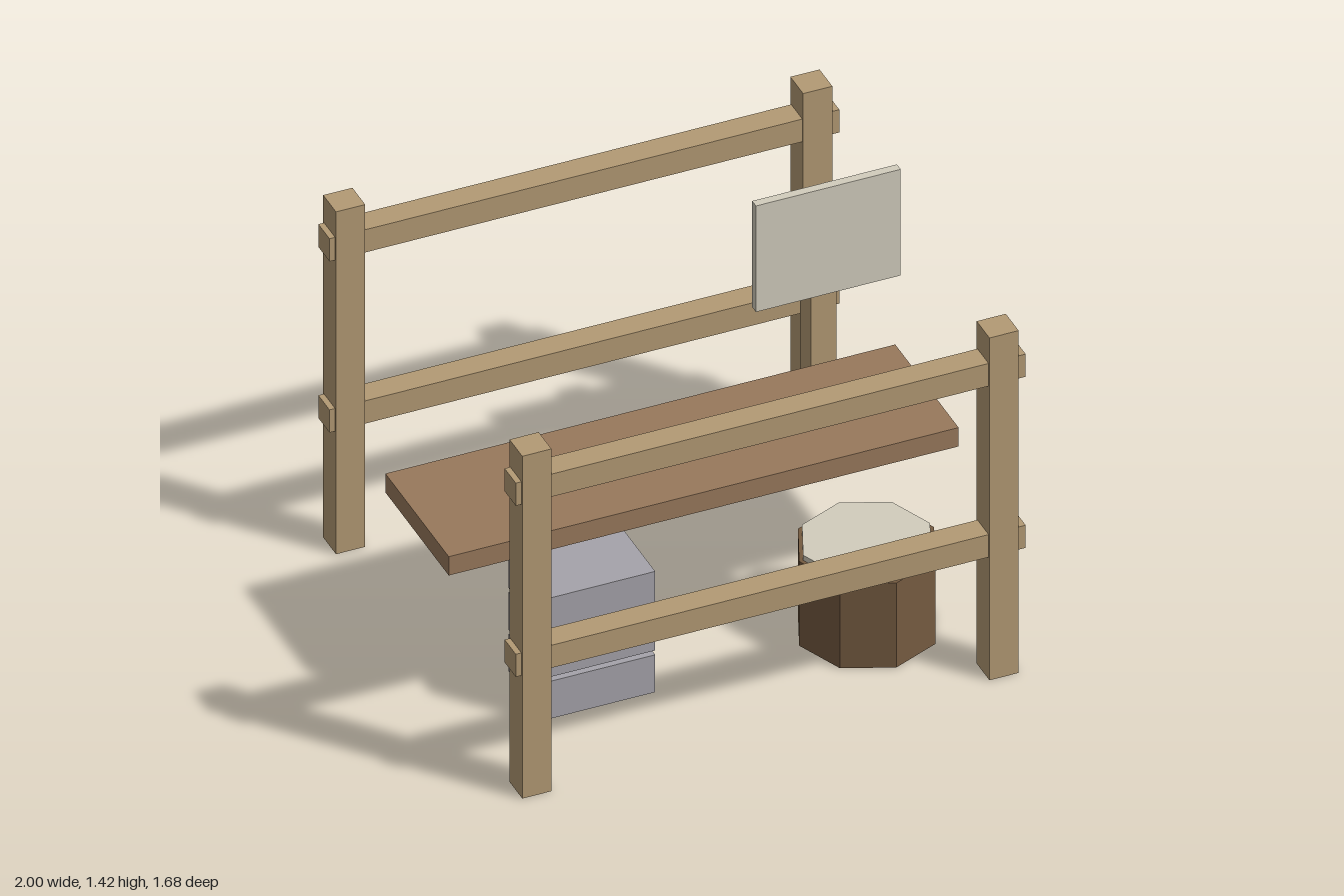
import * as THREE from 'three';

const material = (color) => new THREE.MeshStandardMaterial({ color, flatShading: true });

export function createModel() {
  const model = new THREE.Group();
  const timber = material(0xb39a74);
  const plankWood = material(0x98795c);
  const stumpWood = material(0x755b41);
  const pale = material(0xd2cdbd);
  const stone = material(0xa5a3aa);

  // Box given by its extents along each axis
  const box = (name, mat, [x0, x1], [y0, y1], [z0, z1], parent = model) => {
    const mesh = new THREE.Mesh(new THREE.BoxGeometry(x1 - x0, y1 - y0, z1 - z0), mat);
    mesh.position.set((x0 + x1) / 2, (y0 + y1) / 2, (z0 + z1) / 2);
    mesh.name = name;
    parent.add(mesh);
  };

  // Front and back fences: two posts and two rails each
  for (const [side, z] of [['front', 0.785], ['back', -0.785]]) {
    const fence = new THREE.Group();
    fence.name = side + 'Fence';
    for (const x of [-0.925, 0.805]) {
      box('fencePost', timber, [x - 0.054, x + 0.054], [0, 1.42], [z - 0.054, z + 0.054], fence);
    }
    for (const y of [0.553, 1.263]) {
      box('fenceRail', timber, [-1, 0.888], [y - 0.047, y + 0.047], [z - 0.047, z + 0.047], fence);
    }
    model.add(fence);
  }

  // Long plank between the fences
  box('plank', plankWood, [-1, 0.888], [0.562, 0.64], [-0.267, 0.267]);

  // Sign on its own post
  box('signPost', timber, [0.682, 0.776], [0, 1.105], [-0.602, -0.508]);
  box('signBoard', pale, [0.464, 1], [0.76, 1.2], [-0.508, -0.476]);

  // Stack of three separate blocks
  for (let i = 0; i < 3; i++) {
    const y = 0.02 + i * 0.173;
    box('stackedBlock', stone, [-0.732, -0.326], [y, y + 0.155], [0.161, 0.473]);
  }

  // Octagonal stump with a pale top disc
  const octagon = (name, mat, radius, y0, y1) => {
    const mesh = new THREE.Mesh(new THREE.CylinderGeometry(radius, radius, y1 - y0, 8), mat);
    mesh.position.set(0.492, (y0 + y1) / 2, 0.393);
    mesh.name = name;
    model.add(mesh);
  };
  octagon('stump', stumpWood, 0.25, 0, 0.35);
  octagon('stumpTop', pale, 0.235, 0.34, 0.371);

  return model;
}
